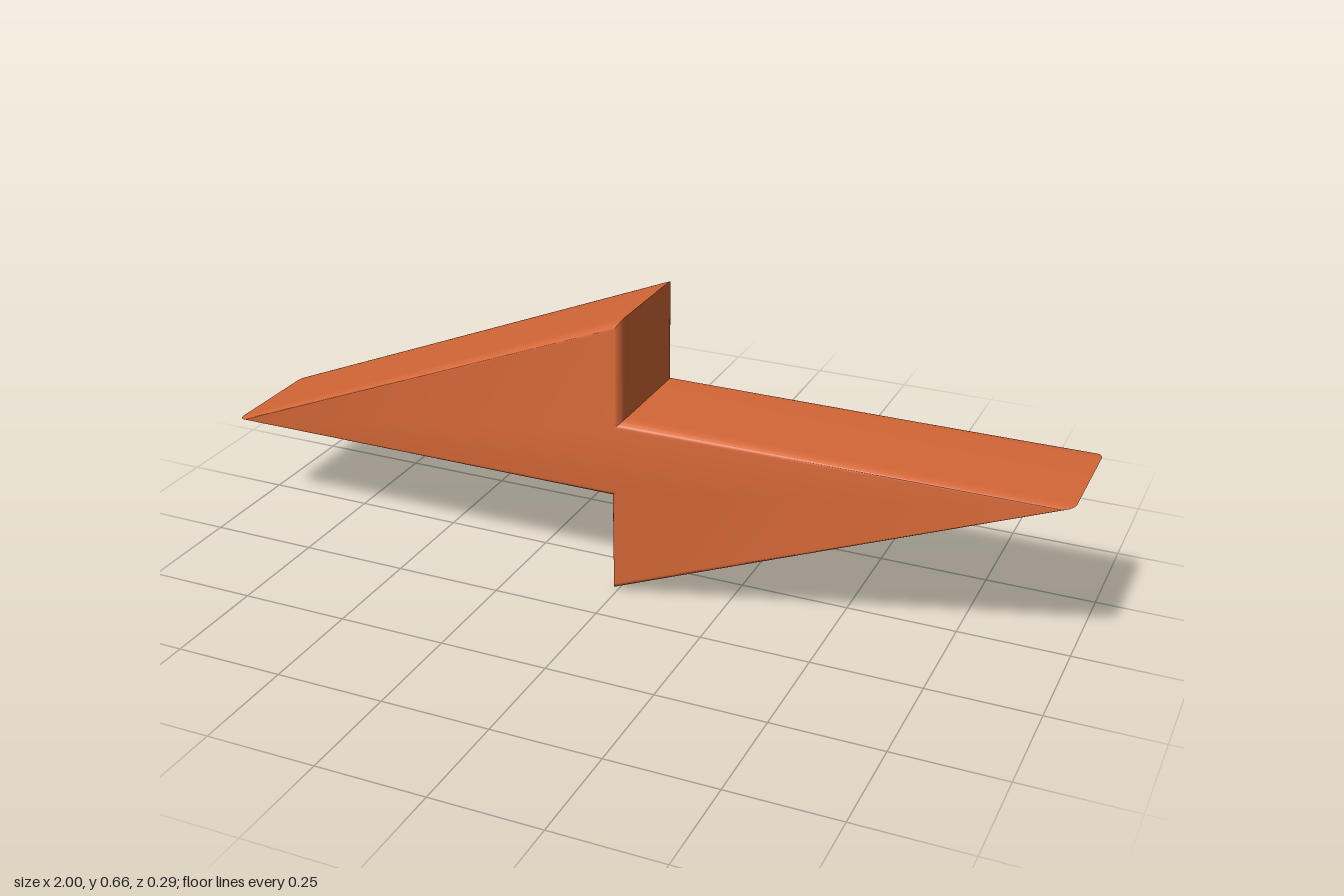
import * as THREE from 'three';
import { toCreasedNormals } from 'three/addons/utils/BufferGeometryUtils.js';

export function createModel() {
  const group = new THREE.Group();
  group.name = 'lightningBolt';
  const orange = new THREE.MeshStandardMaterial({ color: 0xd46737 });
  orange.name = 'burnt orange';

  // Half outline; the other half is the same turned 180 degrees about the centre
  const midY = 0.329;
  const half = [[0.013, 0.329], [0.015, 0.094], [1, 0.088]];
  const points = [...half, ...half.map(([x, y]) => [-x, -y])]
    .map(([x, y]) => new THREE.Vector2(x, y + midY));

  // Bolt slab with rounded rims, bevelled inwards from the outline
  const halfDepth = 0.144, bevel = 0.019, rim = 0.028;
  const geometry = new THREE.ExtrudeGeometry(new THREE.Shape(points), {
    depth: 2 * (halfDepth - rim),
    bevelEnabled: true,
    bevelThickness: rim,
    bevelSize: bevel,
    bevelOffset: -bevel,
    bevelSegments: 8,
  });
  geometry.translate(0, 0, rim - halfDepth);

  const bolt = new THREE.Mesh(toCreasedNormals(geometry, 0.5), orange);
  bolt.name = 'bolt';
  group.add(bolt);
  return group;
}
